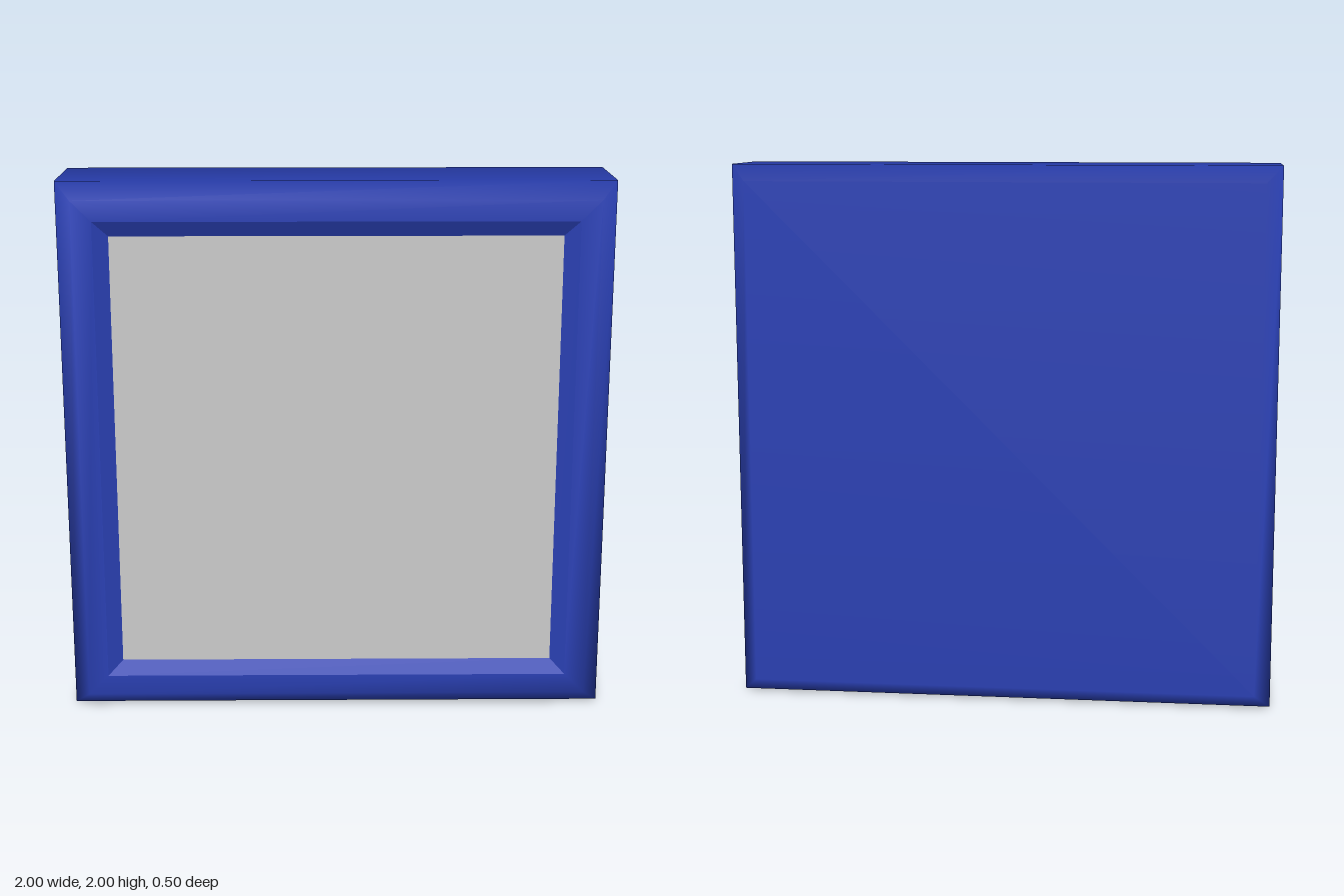
import * as THREE from 'three';

// Corners of a square ring, counter-clockwise seen from the front
const CORNERS = [[1, -1], [1, 1], [-1, 1], [-1, -1]];

// Skin of square rings [half size, z], listed from the front opening to the back
function squareLoft(rings, closeBack) {
  const positions = [];
  const index = [];
  for (const [half, z] of rings) {
    for (const [x, y] of CORNERS) positions.push(x * half, 1 + y * half, z);
  }
  for (let k = 0; k < rings.length - 1; k++) {
    for (let i = 0; i < 4; i++) {
      const a = k * 4 + i;
      const b = k * 4 + (i + 1) % 4;
      const c = b + 4;
      const d = a + 4;
      // Diagonals alternate from side to side
      if (i % 2 === 0) index.push(a, d, c, a, c, b);
      else index.push(a, d, b, d, c, b);
    }
  }
  if (closeBack) {
    const n = (rings.length - 1) * 4;
    index.push(n + 3, n + 2, n + 1, n + 3, n + 1, n);
  }
  const geometry = new THREE.BufferGeometry();
  geometry.setAttribute('position', new THREE.Float32BufferAttribute(positions, 3));
  geometry.setIndex(index);
  geometry.computeVertexNormals();
  return geometry;
}

export function createModel() {
  const group = new THREE.Group();
  const blue = new THREE.MeshStandardMaterial({ color: 0x2a40b4 });
  const blueFlat = new THREE.MeshStandardMaterial({ color: 0x2a40b4, flatShading: true });
  const grey = new THREE.MeshStandardMaterial({ color: 0xcccccc });

  const add = (name, geometry, material) => {
    const mesh = new THREE.Mesh(geometry, material);
    mesh.name = name;
    group.add(mesh);
    return mesh;
  };

  // Chamfered casing with soft shading, open at the front
  add('casing', squareLoft([
    [0.865, 0.25], [0.94, 0.25], [1, 0.18], [1, -0.18], [0.94, -0.25],
  ], true), blue);

  // Sloping rim leading down to the recessed panel
  add('rim', squareLoft([[0.81, 0.225], [0.865, 0.25]], false), blueFlat);

  // Recessed front panel
  add('panel', new THREE.PlaneGeometry(1.62, 1.62), grey).position.set(0, 1, 0.225);

  return group;
}
